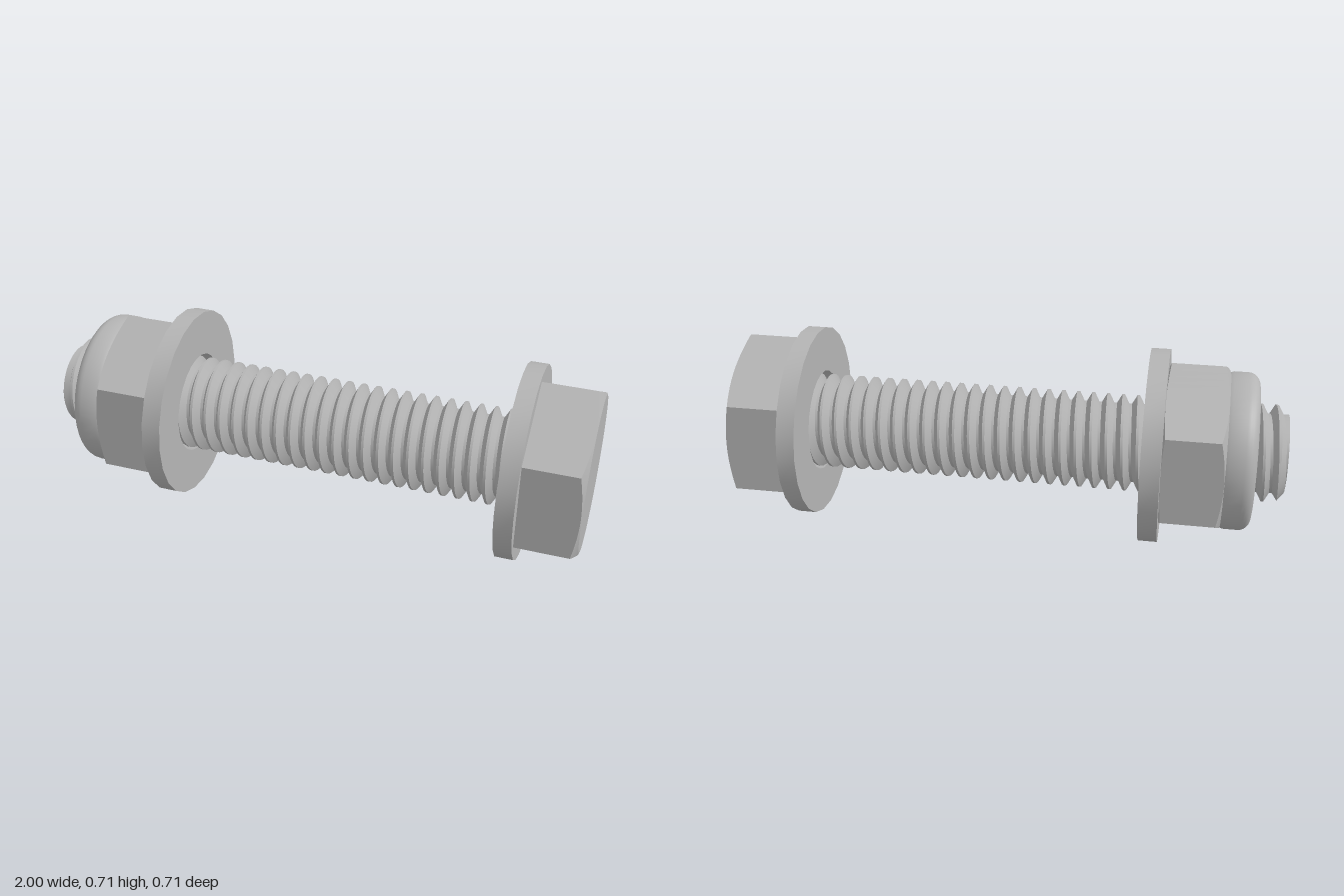
import * as THREE from 'three';
import { toCreasedNormals } from 'three/addons/utils/BufferGeometryUtils.js';

const AXIS_Y = 0.353;

// Surface around the x axis: at(row, angle) returns [x, radius]
function sweep(rows, segments, crease, at) {
  const positions = [], index = [];
  for (let i = 0; i < rows; i++) {
    for (let j = 0; j <= segments; j++) {
      const a = (j / segments) * Math.PI * 2;
      const [x, r] = at(i, a);
      positions.push(x, r * Math.cos(a), r * Math.sin(a));
    }
  }
  const w = segments + 1;
  for (let i = 0; i < rows - 1; i++) {
    for (let j = 0; j < segments; j++) {
      const a = i * w + j, b = a + w;
      index.push(a, a + 1, b, b, a + 1, b + 1);
    }
  }
  const geometry = new THREE.BufferGeometry();
  geometry.setAttribute('position', new THREE.Float32BufferAttribute(positions, 3));
  geometry.setIndex(index);
  return toCreasedNormals(geometry, crease);
}

// Hexagonal prism whose corners are cut by a cone at each end
function hexPrism(x0, x1, corner, flatRadius, slope0, slope1, hole) {
  const apothem = corner * Math.cos(Math.PI / 6);
  return sweep(6, 72, 0.3, (i, a) => {
    const turn = a % (Math.PI / 3) - Math.PI / 6;
    const r = apothem / Math.cos(turn);
    const cut = Math.max(0, r - flatRadius);
    const inner = Math.min(flatRadius, r);
    return [
      [x0, hole], [x0, inner], [x0 + cut * slope0, r],
      [x1 - cut * slope1, r], [x1, inner], [x1, hole],
    ][i];
  });
}

// Helical thread, tapering to the core at its free end
function threadedRod(x0, x1, pitch, root, crest) {
  const profile = [[-0.41, root], [-0.08, crest], [0.08, crest], [0.41, root]];
  const turns = Math.ceil((x1 - x0) / pitch) + 3;
  return sweep(turns * 4 + 2, 36, 0.6, (i, a) => {
    if (i === 0) return [x0, 0];
    if (i === turns * 4 + 1) return [x1, 0];
    const [offset, r] = profile[(i - 1) % 4];
    const k = Math.floor((i - 1) / 4) - 2 + offset + a / (Math.PI * 2);
    const x = THREE.MathUtils.clamp(x0 + 0.04 + pitch * k, x0, x1);
    return [x, Math.min(r, root + (x - x0) * 1.2)];
  });
}

// Lathe turned to lie along x; points are [radius, x]
function turned(points, segments) {
  const geometry = new THREE.LatheGeometry(points.map(p => new THREE.Vector2(...p)), segments);
  geometry.rotateZ(-Math.PI / 2);
  return toCreasedNormals(geometry, 0.5);
}

export function createModel() {
  const group = new THREE.Group();
  const steel = new THREE.MeshStandardMaterial({ name: 'steel grey', color: 0xb4b4b4 });
  const add = (name, geometry) => {
    const mesh = new THREE.Mesh(geometry, steel);
    mesh.name = name;
    mesh.position.y = AXIS_Y;
    group.add(mesh);
  };

  add('threadedShank', threadedRod(-1, 0.8, 0.055, 0.143, 0.176));
  add('boltHead', hexPrism(0.785, 1, 0.331, 0.28, 0, 0.4, 0));

  // Flat washers under the head and the nut
  const washer = (x0, x1) => turned(
    [[0.188, x0], [0.353, x0], [0.353, x1], [0.188, x1], [0.188, x0]], 24);
  add('headWasher', washer(0.72, 0.786));
  add('nutWasher', washer(-0.566, -0.497));

  // Lock nut: hexagonal body and a rounded collar
  add('nutBody', hexPrism(-0.785, -0.565, 0.326, 0.279, 0.42, 0.2, 0.16));
  const collar = [[0.17, -0.78], [0.17, -0.872], [0.188, -0.89]];
  for (let i = 0; i <= 6; i++) {
    const a = (i / 6) * Math.PI / 2;
    collar.push([0.243 + 0.042 * Math.sin(a), -0.848 - 0.042 * Math.cos(a)]);
  }
  collar.push([0.285, -0.795], [0.279, -0.78]);
  add('nutCollar', turned(collar, 48));

  return group;
}
